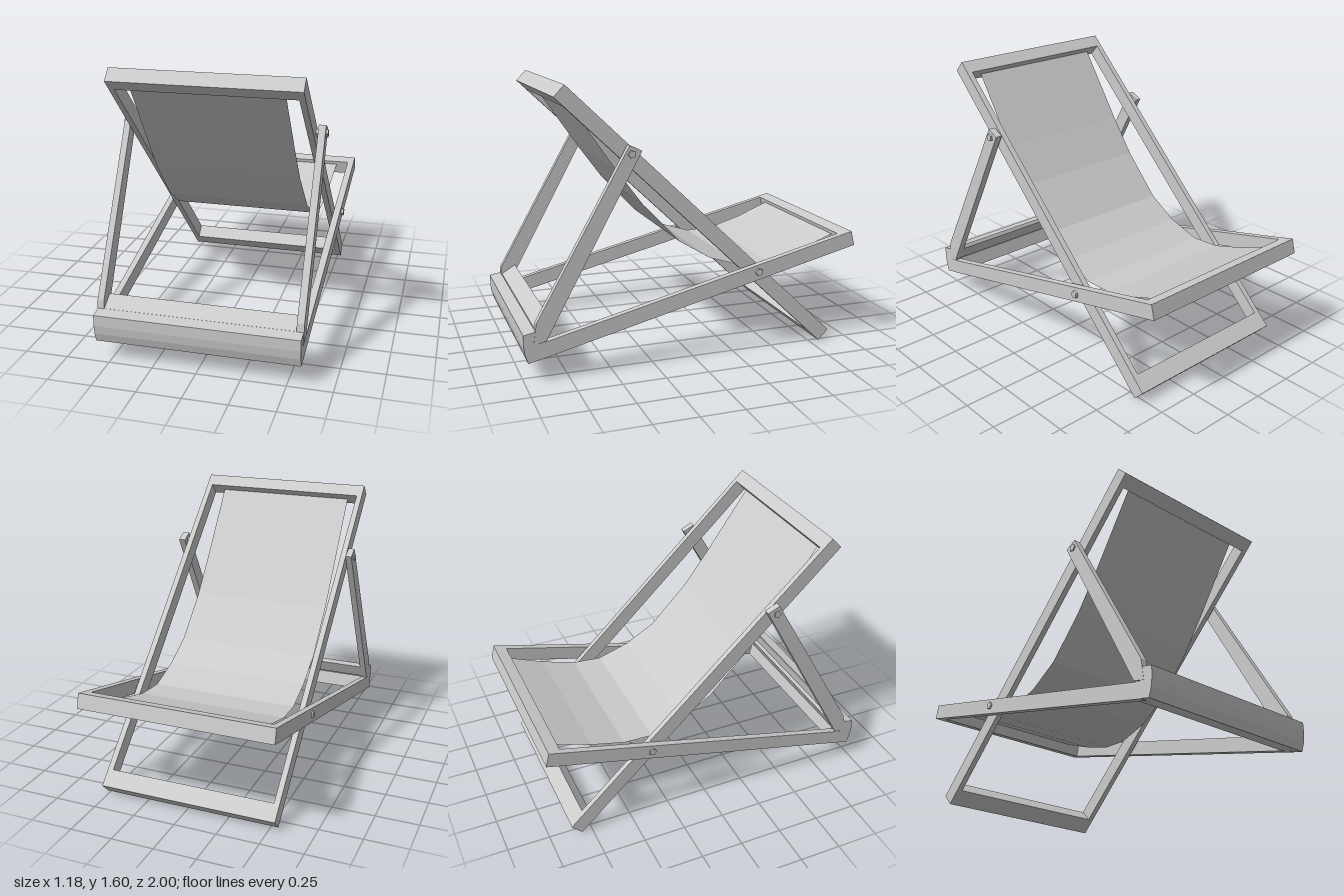
import * as THREE from 'three';

export function createModel() {
  const model = new THREE.Group();
  const wood = new THREE.MeshStandardMaterial({ color: 0xcccccc });
  const cloth = new THREE.MeshStandardMaterial({ color: 0xcccccc, flatShading: true, side: THREE.DoubleSide });

  function group(name) {
    const g = new THREE.Group();
    g.name = name;
    model.add(g);
    return g;
  }

  // Side profile of [z, y] points, extruded across x from x0 to x1
  function prism(parent, name, points, x0, x1) {
    const shape = new THREE.Shape(points.map(([z, y]) => new THREE.Vector2(-z, y)));
    const geo = new THREE.ExtrudeGeometry(shape, { depth: x1 - x0, bevelEnabled: false });
    geo.rotateY(Math.PI / 2).translate(x0, 0, 0);
    const mesh = new THREE.Mesh(geo, wood);
    mesh.name = name;
    parent.add(mesh);
    return mesh;
  }

  // Rectangular profile along the centre line p to q, limited to distances d0..d1 from p
  function beam(p, q, width, d0 = 0, d1 = Math.hypot(q[0] - p[0], q[1] - p[1])) {
    const len = Math.hypot(q[0] - p[0], q[1] - p[1]);
    const u = [(q[0] - p[0]) / len, (q[1] - p[1]) / len];
    const at = (d, s) => [p[0] + u[0] * d - u[1] * s, p[1] + u[1] * d + u[0] * s];
    const h = width / 2;
    return [at(d0, -h), at(d1, -h), at(d1, h), at(d0, h)];
  }

  // Back frame: leans from the high front bar down to the rear foot bar
  const back = group('backFrame');
  const backTop = [0.76, 1.568], backFoot = [-0.842, 0.033];
  const backLen = Math.hypot(backTop[0] - backFoot[0], backTop[1] - backFoot[1]);
  prism(back, 'backRailRight', beam(backTop, backFoot, 0.087), -0.54, -0.507);
  prism(back, 'backRailLeft', beam(backTop, backFoot, 0.087), 0.488, 0.522);
  prism(back, 'headBar', beam(backTop, backFoot, 0.087, 0, 0.08), -0.507, 0.488);
  prism(back, 'footBar', beam(backTop, backFoot, 0.087, backLen - 0.105), -0.507, 0.488);

  // Seat frame: rises gently from the front base bar to the rear bar
  const seat = group('seatFrame');
  const seatFront = [0.93, 0.17], seatRear = [-0.988, 0.642];
  const seatLen = Math.hypot(seatFront[0] - seatRear[0], seatFront[1] - seatRear[1]);
  prism(seat, 'seatRailRight', beam(seatFront, seatRear, 0.088), -0.58, -0.543);
  prism(seat, 'seatRailLeft', beam(seatFront, seatRear, 0.088), 0.533, 0.574);
  prism(seat, 'seatRearBar', beam(seatFront, seatRear, 0.088, seatLen - 0.073), -0.543, 0.533);
  prism(seat, 'baseBar', [
    [0.977, 0.115], [0.993, 0.165], [1, 0.215], [1, 0.278], [0.932, 0.292], [0.916, 0.222], [0.885, 0.23], [0.865, 0.143],
  ], -0.58, 0.574);

  // Support frame: two struts that rest behind the lip of the base bar
  const support = group('supportFrame');
  const strut = [[0.397, 1.273], [0.327, 1.24], [0.874, 0.235], [0.944, 0.219], [0.928, 0.337]];
  prism(support, 'strutRight', strut, -0.581, -0.544);
  prism(support, 'strutLeft', strut, 0.536, 0.577);
  prism(support, 'strutBar', [[0.927, 0.29], [0.842, 0.343], [0.832, 0.32], [0.876, 0.238], [0.918, 0.228]], -0.544, 0.536);

  // Five-sided pivot bolts
  const bolts = group('pivotBolts');
  for (const side of [-1, 1]) {
    for (const [z, y] of [[0.385, 1.225], [-0.375, 0.495]]) {
      const geo = new THREE.CylinderGeometry(0.023, 0.023, 0.08, 5);
      geo.rotateZ(Math.PI / 2);
      const bolt = new THREE.Mesh(geo, new THREE.MeshStandardMaterial({ color: 0xcccccc, flatShading: true }));
      bolt.name = 'pivotBolt';
      bolt.position.set(side * 0.549, y, z);
      bolts.add(bolt);
    }
  }

  // Sagging fabric sling: [z, y, right edge, left edge] from head bar to seat rear bar
  const sling = [
    [0.7, 1.512, -0.442, 0.41], [0.43, 1.12, -0.442, 0.415], [0.275, 0.91, -0.443, 0.418],
    [0.05, 0.672, -0.444, 0.424], [-0.13, 0.563, -0.446, 0.43], [-0.325, 0.5, -0.45, 0.43],
    [-0.5, 0.508, -0.453, 0.437], [-0.7, 0.565, -0.46, 0.445], [-0.925, 0.65, -0.47, 0.456],
  ];
  const geo = new THREE.PlaneGeometry(1, 1, 1, sling.length - 1);
  const pos = geo.attributes.position;
  sling.forEach(([z, y, x0, x1], i) => {
    pos.setXYZ(2 * i, x0, y, z);
    pos.setXYZ(2 * i + 1, x1, y, z);
  });
  // Rows run front to back, so reverse the winding to face up
  const idx = geo.index.array;
  for (let i = 0; i < idx.length; i += 3) [idx[i], idx[i + 1]] = [idx[i + 1], idx[i]];
  geo.computeVertexNormals();
  const fabric = new THREE.Mesh(geo, cloth);
  fabric.name = 'fabricSling';
  model.add(fabric);

  return model;
}
